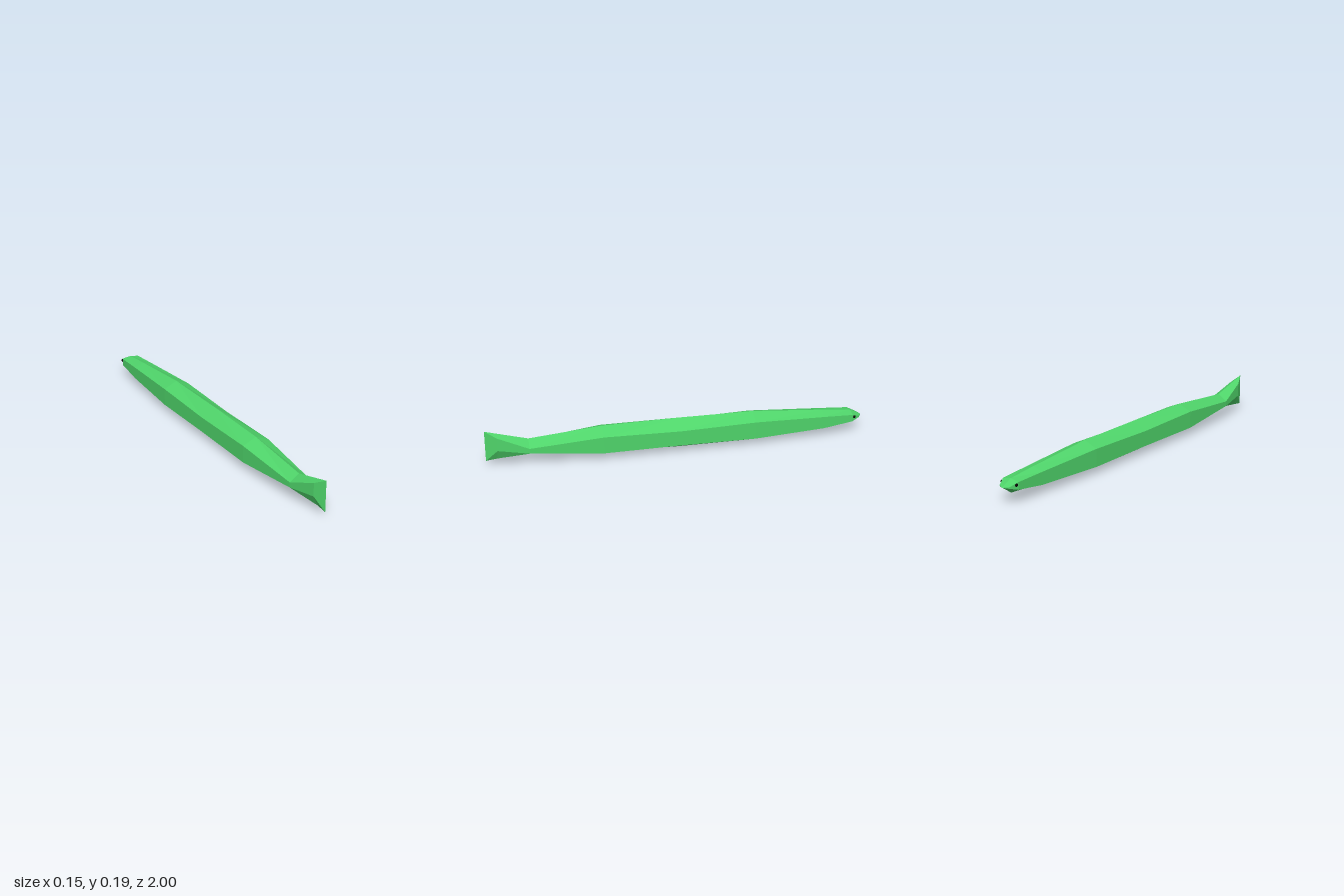
import * as THREE from 'three';

// Hexagonal sections from snout to tail: [z, half width, top, upper side, lower side, bottom]
const SECTIONS = [
  [-1.0, 0, 0.086, 0.086, 0.086, 0.086],
  [-0.983, 0.03, 0.095, 0.09, 0.083, 0.076],
  [-0.94, 0.049, 0.117, 0.108, 0.07, 0.045],
  [-0.78, 0.056, 0.133, 0.116, 0.05, 0.034],
  [-0.4, 0.074, 0.165, 0.133, 0.039, 0.003],
  [0, 0.074, 0.169, 0.125, 0.044, 0.002],
  [0.4, 0.074, 0.166, 0.134, 0.043, 0.015],
  [0.78, 0.052, 0.134, 0.1, 0.073, 0.056],
  [0.94, 0.027, 0.179, 0.164, 0.093, 0.037],
  [1.0, 0, 0.196, 0.196, 0.03, 0.03],
];

// Corners of one section, counter-clockwise as seen from +z
function ring([z, w, top, upper, lower, bottom]) {
  return [[0, top], [-w, upper], [-w, lower], [0, bottom], [w, lower], [w, upper]]
    .map(([x, y]) => new THREE.Vector3(x, y, z));
}

// Flat-faced skin between neighbouring sections
function loft(sections) {
  const rings = sections.map(ring);
  const points = [];
  const tri = (a, b, c) => {
    if (new THREE.Triangle(a, b, c).getArea() > 1e-9) points.push(a, b, c);
  };
  for (let k = 0; k < rings.length - 1; k++) {
    for (let i = 0; i < 6; i++) {
      const j = (i + 1) % 6;
      const a = rings[k][i], b = rings[k][j], c = rings[k + 1][j], d = rings[k + 1][i];
      // mirror the diagonal on the other half of the body
      if (i < 3) { tri(a, b, c); tri(a, c, d); }
      else { tri(a, b, d); tri(b, c, d); }
    }
  }
  const geometry = new THREE.BufferGeometry().setFromPoints(points);
  geometry.computeVertexNormals();
  return geometry;
}

export function createModel() {
  const group = new THREE.Group();
  group.name = 'fish';

  // Body, running into the upright tail fin
  const green = new THREE.MeshStandardMaterial({ color: 0x4fd46a, flatShading: true });
  const body = new THREE.Mesh(loft(SECTIONS), green);
  body.name = 'bodyAndTail';
  group.add(body);

  // Small eyes on the sides of the snout
  const black = new THREE.MeshStandardMaterial({ color: 0x050505, flatShading: true });
  for (const side of [-1, 1]) {
    const eye = new THREE.Mesh(new THREE.IcosahedronGeometry(0.008, 1), black);
    eye.name = side > 0 ? 'leftEye' : 'rightEye';
    eye.position.set(side * 0.045, 0.095, -0.95);
    group.add(eye);
  }
  return group;
}
